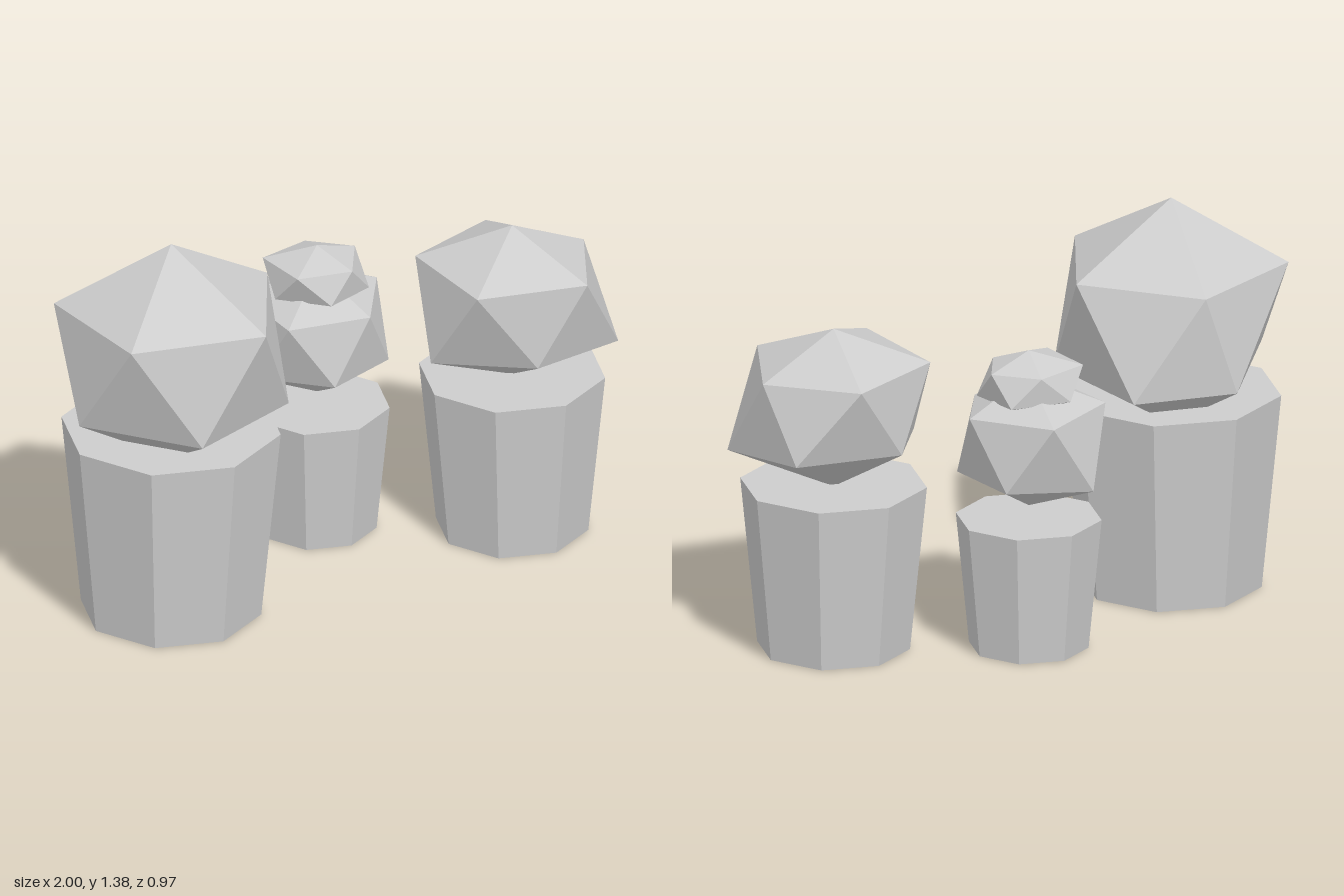
import * as THREE from 'three';

const stone = new THREE.MeshStandardMaterial({ color: 0xcccccc, flatShading: true });
stone.name = 'light grey';

// Eight-sided tapered pot standing on the ground
function makePot(x, z, rTop, rBottom, height) {
  const pot = new THREE.Mesh(new THREE.CylinderGeometry(rTop, rBottom, height, 8), stone);
  pot.name = 'pot';
  pot.position.set(x, height / 2, z);
  return pot;
}

// Slightly uneven twenty-sided crown: two poles and two staggered rings of five points
function makeCrown(name, x, z, top, bottom, upper, lower) {
  const t = [x, top, z], b = [x, bottom, z], points = [];
  for (let i = 0; i < 5; i++) {
    const j = (i + 1) % 5;
    points.push(t, upper[j], upper[i]);
    points.push(upper[i], upper[j], lower[i]);
    points.push(upper[j], lower[j], lower[i]);
    points.push(b, lower[i], lower[j]);
  }
  const geometry = new THREE.BufferGeometry();
  geometry.setAttribute('position', new THREE.Float32BufferAttribute(points.flat(), 3));
  geometry.computeVertexNormals();
  const crown = new THREE.Mesh(geometry, stone);
  crown.name = name;
  return crown;
}

function makePlant(name, ...parts) {
  const plant = new THREE.Group();
  plant.name = name;
  plant.add(...parts);
  return plant;
}

export function createModel() {
  const model = new THREE.Group();
  model.name = 'pottedPlants';

  // Ring points run from +x round towards +z
  model.add(makePlant('largePlant',
    makePot(-0.62, 0.01, 0.377, 0.31, 0.69),
    makeCrown('largeCrown', -0.62, 0.01, 1.38, 0.57,
      [[-0.22, 1.152, 0.005], [-0.5, 1.157, 0.4], [-0.945, 1.153, 0.24], [-0.94, 1.15, -0.225], [-0.513, 1.135, -0.338]],
      [[-0.295, 0.777, 0.24], [-0.743, 0.79, 0.373], [-0.995, 0.795, 0.005], [-0.62, 0.785, -0.37], [-0.283, 0.777, -0.24]])));

  model.add(makePlant('mediumPlant',
    makePot(0.68, 0.163, 0.32, 0.262, 0.583),
    makeCrown('mediumCrown', 0.68, 0.163, 1.135, 0.57,
      [[0.975, 0.995, 0.163], [0.775, 1.007, 0.472], [0.394, 1.02, 0.367], [0.415, 1.015, -0.03], [0.775, 1.004, -0.13]],
      [[0.97, 0.7, 0.375], [0.595, 0.729, 0.437], [0.345, 0.708, 0.163], [0.585, 0.736, -0.1], [0.95, 0.736, 0.005]])));

  model.add(makePlant('smallPlant',
    makePot(0.142, -0.22, 0.25, 0.205, 0.46),
    makeCrown('smallCrown', 0.142, -0.22, 0.97, 0.5,
      [[0.39, 0.86, -0.222], [0.212, 0.85, -0.005], [-0.08, 0.858, -0.07], [-0.07, 0.868, -0.37], [0.227, 0.861, -0.483]],
      [[0.34, 0.622, -0.08], [0.06, 0.632, 0.005], [-0.108, 0.622, -0.22], [0.06, 0.606, -0.48], [0.34, 0.62, -0.365]]),
    makeCrown('smallCrownBud', 0.142, -0.22, 1.056, 0.84,
      [[0.303, 1.003, -0.227], [0.19, 1.0, -0.08], [-0.005, 1.008, -0.125], [-0.005, 1.005, -0.33], [0.19, 1.0, -0.36]],
      [[0.287, 0.895, -0.12], [0.09, 0.905, -0.06], [-0.03, 0.9, -0.22], [0.09, 0.908, -0.39], [0.287, 0.9, -0.32]])));

  return model;
}
